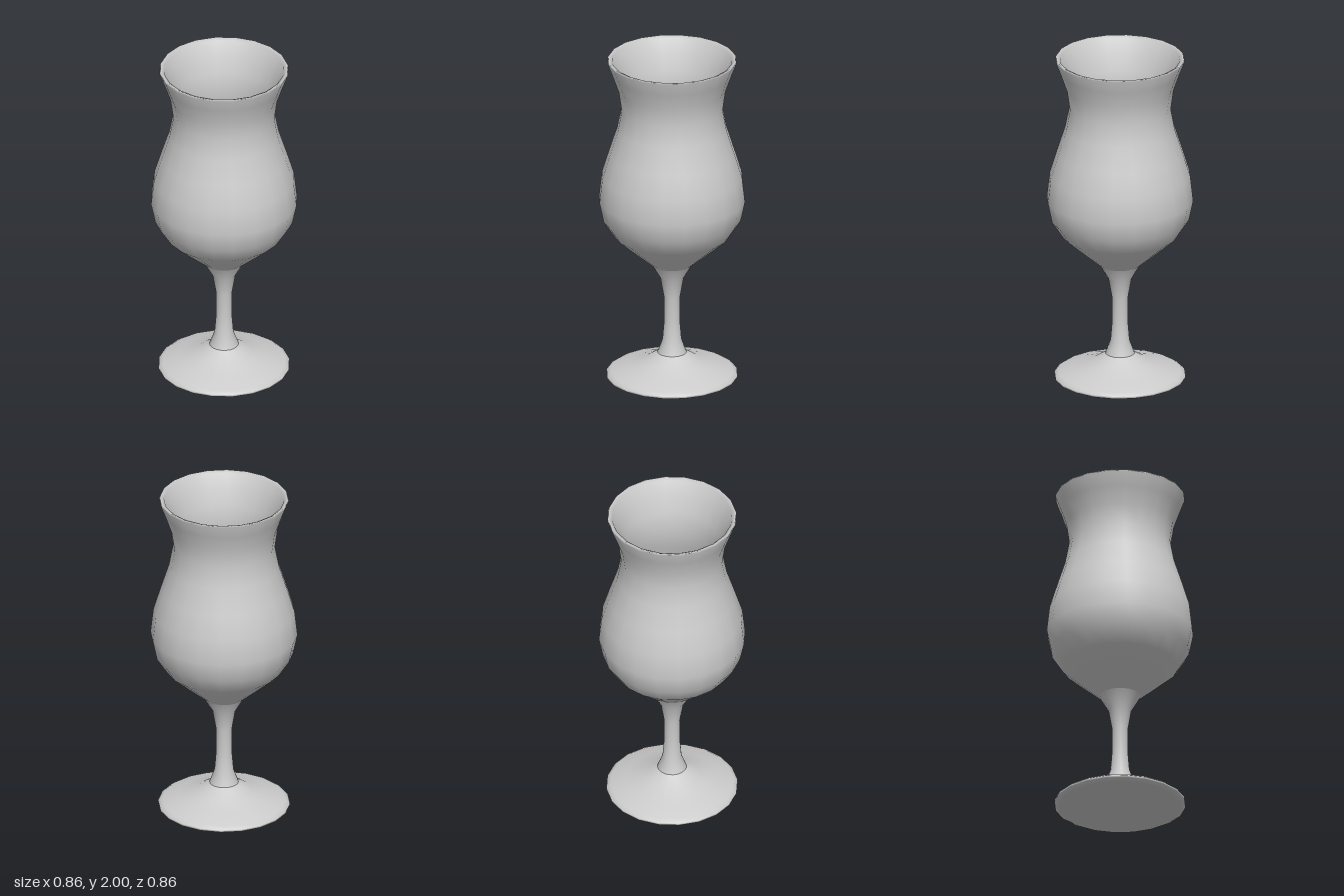
import * as THREE from 'three';

const SIDES = 20;
const material = new THREE.MeshStandardMaterial({ color: 0xcccccc, side: THREE.DoubleSide });

// Revolves a profile of [radius, height] pairs around the y axis
function turned(name, profile) {
  const points = profile.map(([r, y]) => new THREE.Vector2(r, y));
  const mesh = new THREE.Mesh(new THREE.LatheGeometry(points, SIDES), material);
  mesh.name = name;
  return mesh;
}

export function createModel() {
  const glass = new THREE.Group();
  glass.name = 'stemmedGlass';

  // Underside, rounded edge and sloping top of the foot
  glass.add(turned('footUnderside', [[0, 0.015], [0.2, 0.008], [0.36, 0]]));
  glass.add(turned('foot', [
    [0.36, 0], [0.385, 0.012], [0.385, 0.025], [0.36, 0.042],
    [0.27, 0.07], [0.16, 0.108], [0.085, 0.155],
  ]));

  // Slim stem flaring at both ends
  glass.add(turned('stem', [
    [0.085, 0.155], [0.056, 0.235], [0.046, 0.36], [0.047, 0.5], [0.068, 0.62], [0.12, 0.71],
  ]));

  // Tulip bowl: outer wall, flared rim, then down the inner wall
  glass.add(turned('bowl', [
    [0.12, 0.71], [0.225, 0.8], [0.34, 0.9], [0.405, 1.0], [0.43, 1.12], [0.413, 1.27],
    [0.37, 1.41], [0.322, 1.56], [0.298, 1.69], [0.315, 1.81], [0.35, 1.91], [0.38, 1.99],
    [0.374, 2.0], [0.352, 1.99],
    [0.315, 1.9], [0.28, 1.81], [0.256, 1.69], [0.285, 1.55], [0.332, 1.41], [0.375, 1.27],
    [0.39, 1.12], [0.366, 1.01], [0.305, 0.92], [0.2, 0.83], [0.09, 0.77], [0, 0.755],
  ]));

  return glass;
}
